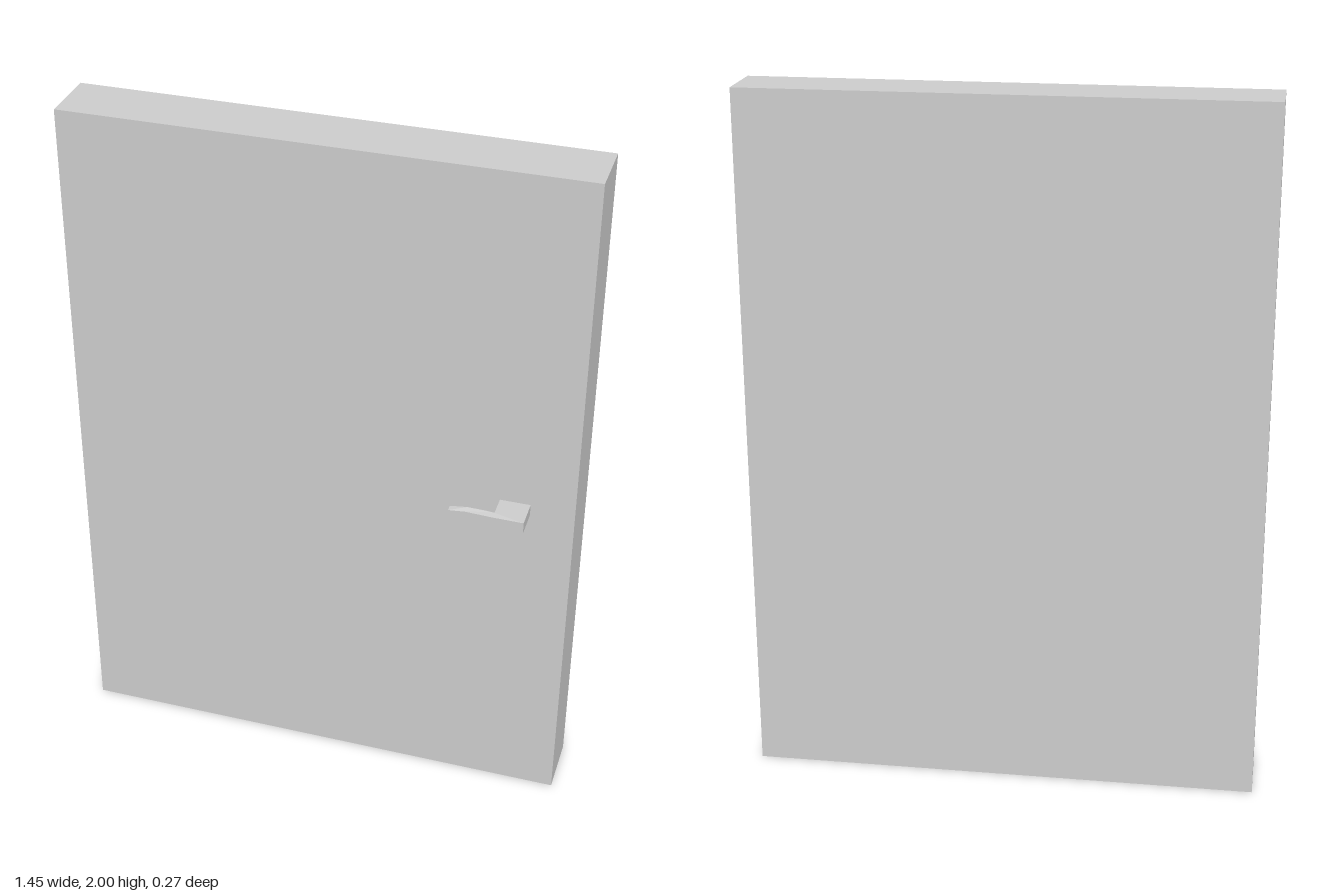
import * as THREE from 'three';

const material = new THREE.MeshStandardMaterial({ color: 0xcccccc, flatShading: true });

// Lever handle: an L-shaped plan extruded upward, thinned toward the tip
function createHandle() {
  const bottom = 0.978, top = 1.012;
  const plan = [
    [0.603, 0.045], [0.603, 0.133], [0.517, 0.132], [0.44, 0.128], [0.391, 0.125],
    [0.391, 0.104], [0.44, 0.105], [0.49, 0.106], [0.517, 0.109], [0.517, 0.045],
  ];
  const shape = new THREE.Shape(plan.map(([x, z]) => new THREE.Vector2(x, -z)));
  const geometry = new THREE.ExtrudeGeometry(shape, { depth: top - bottom, bevelEnabled: false });
  geometry.rotateX(-Math.PI / 2).translate(0, bottom, 0);

  const p = geometry.attributes.position;
  for (let i = 0; i < p.count; i++) {
    const taper = THREE.MathUtils.clamp((0.44 - p.getX(i)) / 0.049, 0, 1);
    const y = p.getY(i);
    p.setY(i, y > 0.995 ? y - 0.007 * taper : y + 0.007 * taper);
  }
  geometry.computeVertexNormals();

  const handle = new THREE.Mesh(geometry, material);
  handle.name = 'handle';
  return handle;
}

export function createModel() {
  const model = new THREE.Group();
  model.name = 'door';

  // Plain slab, set slightly back to leave room for the handle
  const panel = new THREE.Mesh(new THREE.BoxGeometry(1.454, 2, 0.178), material);
  panel.name = 'doorPanel';
  panel.position.set(0, 1, -0.044);

  model.add(panel, createHandle());
  return model;
}
